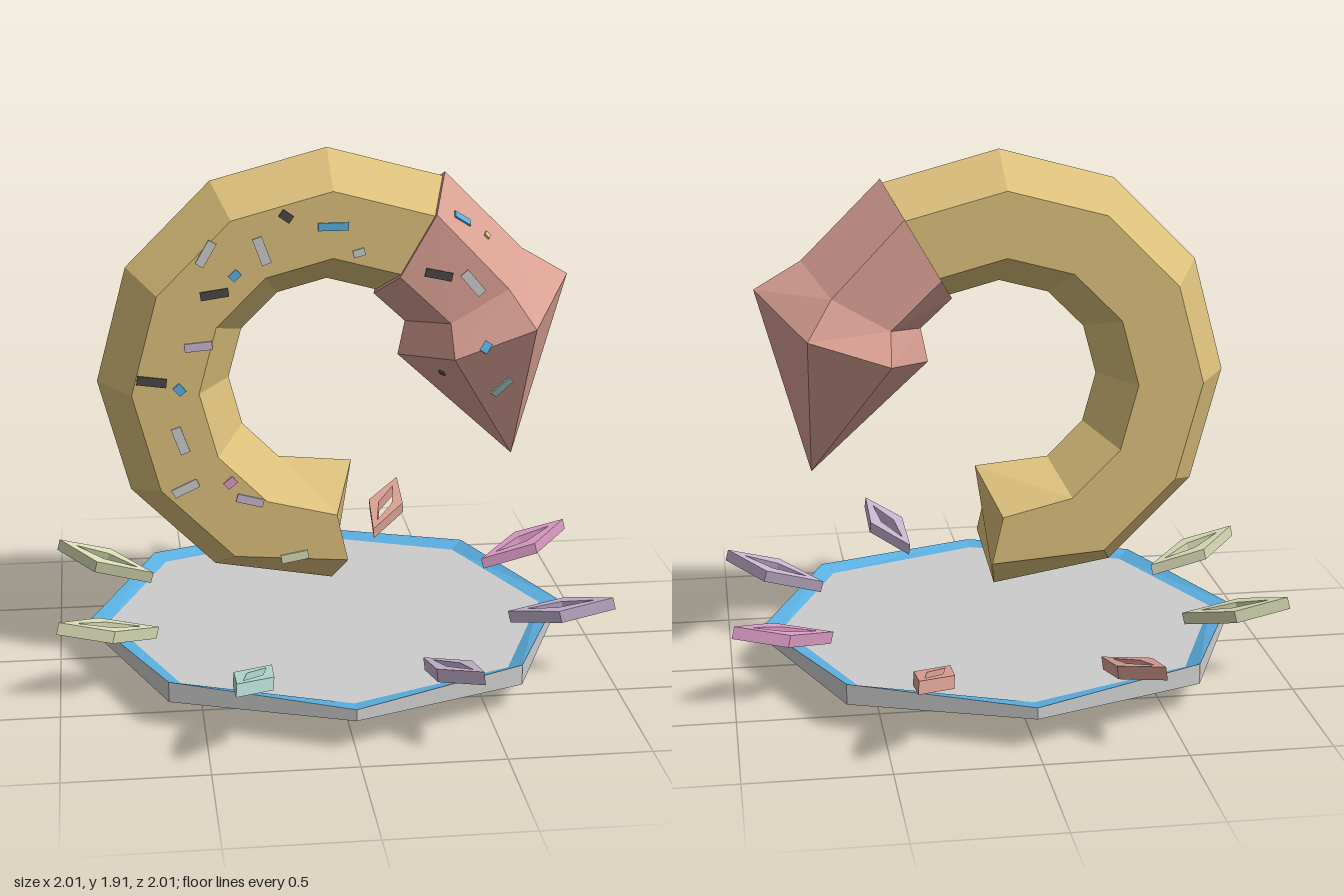
import * as THREE from 'three';

const mat = (name, color) => {
  const m = new THREE.MeshStandardMaterial({ color, flatShading: true });
  m.name = name;
  return m;
};

// Skins a list of closed rings (arrays of Vector3) with flat faces.
function loft(rings, capStart = false, capEnd = false) {
  const out = [];
  const tri = (...pts) => pts.forEach(p => out.push(p.x, p.y, p.z));
  const n = rings[0].length;
  for (let i = 0; i < rings.length - 1; i++) {
    for (let j = 0; j < n; j++) {
      const k = (j + 1) % n;
      const a = rings[i][j], b = rings[i][k], c = rings[i + 1][j], d = rings[i + 1][k];
      if (!a.equals(b)) tri(a, c, b);
      if (!c.equals(d)) tri(b, c, d);
    }
  }
  const last = rings[rings.length - 1];
  for (let j = 1; j < n - 1; j++) {
    if (capStart) tri(rings[0][0], rings[0][j], rings[0][j + 1]);
    if (capEnd) tri(last[0], last[j + 1], last[j]);
  }
  const g = new THREE.BufferGeometry();
  g.setAttribute('position', new THREE.Float32BufferAttribute(out, 3));
  g.computeVertexNormals();
  return g;
}

// Six-sided section mirrored in z: outer ridge, outer side, inner side, inner ridge.
const section = (o, os, is, i, w) => [
  [...o, 0], [...os, w], [...is, w], [...i, 0], [...is, -w], [...os, -w],
].map(p => new THREE.Vector3(...p));

// Hexagonal section of the curl at an angle in degrees.
function hex(deg, scale = 1) {
  const t = THREE.MathUtils.degToRad(deg), r = 0.237 * scale;
  const at = R => [R * Math.cos(t), 1.08 + R * Math.sin(t)];
  return section(at(0.595 + r), at(0.595 + r / 2), at(0.595 - r / 2), at(0.595 - r), r * 0.866);
}

// Octagonal ring; corners on the axes and on the diagonals differ slightly.
const octagon = (rAxis, rDiag, yAxis, yDiag) => Array.from({ length: 8 }, (_, i) => {
  const a = i * Math.PI / 4, r = i % 2 ? rDiag : rAxis;
  return new THREE.Vector3(r * Math.cos(a), i % 2 ? yDiag : yAxis, r * Math.sin(a));
});

export function createModel() {
  const model = new THREE.Group();
  model.name = 'curledTailOnDish';
  const M = {
    gold: mat('gold', 0xdcc07c), salmon: mat('salmon', 0xdaa094), grey: mat('lightGrey', 0xcccccc),
    blue: mat('blue', 0x5aafe0), dark: mat('charcoal', 0x4c4646), mint: mat('mint', 0xb4d8d0),
    lime: mat('paleLime', 0xd8dcb6), lilac: mat('lilac', 0xc8b6d2), pink: mat('pink', 0xdc9cc6),
  };
  const add = (name, geometry, material, parent = model) => {
    const mesh = new THREE.Mesh(geometry, material);
    mesh.name = name;
    parent.add(mesh);
    return mesh;
  };

  // Shallow dish with a raised coloured rim
  const low = octagon(0.885, 0.88, 0.113, 0.095);
  const high = octagon(0.885, 0.88, 0.155, 0.17);
  const inner = octagon(0.813, 0.82, 0.145, 0.145);
  add('dishBody', loft([octagon(0, 0, 0, 0), low, high]), M.grey);
  add('dishRim', loft([high, inner]), M.blue);
  add('dishTop', loft([inner, octagon(0, 0, 0.145, 0.145)]), M.grey);

  // Curled body, ending in a flat cut
  const rings = [60, 90, 120, 150, 180, 210, 240].map(d => hex(d));
  rings.push(section([0.02, 0.285], [0.055, 0.43], [0.015, 0.605], [0.09, 0.745], 0.205));
  const curl = add('curl', loft(rings, false, true), M.gold);

  // Flared head with a pointed tip
  const tip = section([0.69, 0.75], [0.69, 0.75], [0.69, 0.75], [0.69, 0.75], 0);
  const head = add('head', loft([
    tip,
    section([0.88, 1.43], [0.71, 1.3], [0.42, 1.2], [0.26, 1.145], 0.297),
    section([0.71, 1.53], [0.62, 1.435], [0.415, 1.315], [0.285, 1.27], 0.23),
    hex(60, 1.07),
  ], false, true), M.salmon);

  // Sprinkles laid on the front: x, y, length, width, angle, colour
  const sprinkles = [
    [-0.165, 1.71, 0.045, 0.03, -35, 'dark'], [0, 1.67, 0.107, 0.028, 0, 'blue'],
    [-0.445, 1.585, 0.095, 0.032, 60, 'grey'], [-0.25, 1.59, 0.1, 0.035, -70, 'grey'],
    [0.09, 1.575, 0.042, 0.026, 15, 'grey'], [-0.345, 1.505, 0.037, 0.028, 45, 'blue'],
    [-0.417, 1.44, 0.1, 0.03, 8, 'dark'], [-0.476, 1.253, 0.098, 0.03, 5, 'lilac'],
    [-0.642, 1.13, 0.105, 0.032, -8, 'dark'], [-0.545, 1.098, 0.038, 0.03, -50, 'blue'],
    [-0.545, 0.91, 0.1, 0.035, -70, 'grey'], [-0.53, 0.73, 0.098, 0.032, 25, 'grey'],
    [-0.37, 0.745, 0.042, 0.03, 40, 'pink'], [-0.3, 0.675, 0.098, 0.03, -15, 'lilac'],
    [-0.14, 0.452, 0.1, 0.032, 10, 'lime'], [0.465, 1.67, 0.075, 0.028, -5, 'blue'],
    [0.562, 1.6, 0.025, 0.022, 45, 'gold'], [0.37, 1.493, 0.097, 0.03, -12, 'dark'],
    [0.492, 1.46, 0.1, 0.035, -50, 'grey'], [0.53, 1.243, 0.04, 0.03, 60, 'blue'],
    [0.402, 1.113, 0.022, 0.02, 30, 'dark'], [0.612, 1.065, 0.09, 0.03, 55, 'mint'],
  ];
  const group = new THREE.Group();
  group.name = 'sprinkles';
  model.add(group);
  const ray = new THREE.Raycaster();
  for (const [x, y, length, width, deg, colour] of sprinkles) {
    ray.set(new THREE.Vector3(x, y, 2), new THREE.Vector3(0, 0, -1));
    const hit = ray.intersectObjects([curl, head])[0];
    if (!hit) continue;
    const a = THREE.MathUtils.degToRad(deg), nz = hit.face.normal;
    const dir = new THREE.Vector3(Math.cos(a), Math.sin(a), 0).projectOnPlane(nz).normalize();
    const plate = add('sprinkle', new THREE.BoxGeometry(length, width, 0.009), M[colour], group);
    plate.quaternion.setFromRotationMatrix(
      new THREE.Matrix4().makeBasis(dir, new THREE.Vector3().crossVectors(nz, dir), nz));
    plate.position.copy(hit.point).addScaledVector(nz, 0.002);
  }

  // Open diamond petals floating around the dish
  const diamond = (path, l, w) => path.moveTo(l, 0).lineTo(0.02 * l, w).lineTo(-l, 0).lineTo(0.02 * l, -w);
  const shape = new THREE.Shape();
  const hole = new THREE.Path();
  shape.moveTo(0.198, 0).lineTo(0.01, 0.072).lineTo(-0.198, 0).lineTo(0.01, -0.072).closePath();
  hole.moveTo(0.13, 0).lineTo(0, -0.028).lineTo(-0.13, 0).lineTo(0, 0.028).closePath();
  shape.holes.push(hole);
  const petalGeometry = new THREE.ExtrudeGeometry(shape, { depth: 0.045, bevelEnabled: false });
  petalGeometry.translate(0, 0, -0.0225).rotateX(-Math.PI / 2).rotateZ(0.245);
  petalGeometry.translate(0.89, 0.252, 0);
  ['lilac', 'lilac', 'mint', 'lime', 'lime', 'salmon', 'salmon', 'pink'].forEach((colour, i) => {
    add('petal', petalGeometry, M[colour]).rotation.y = -(i + 0.5) * Math.PI / 4;
  });

  return model;
}
